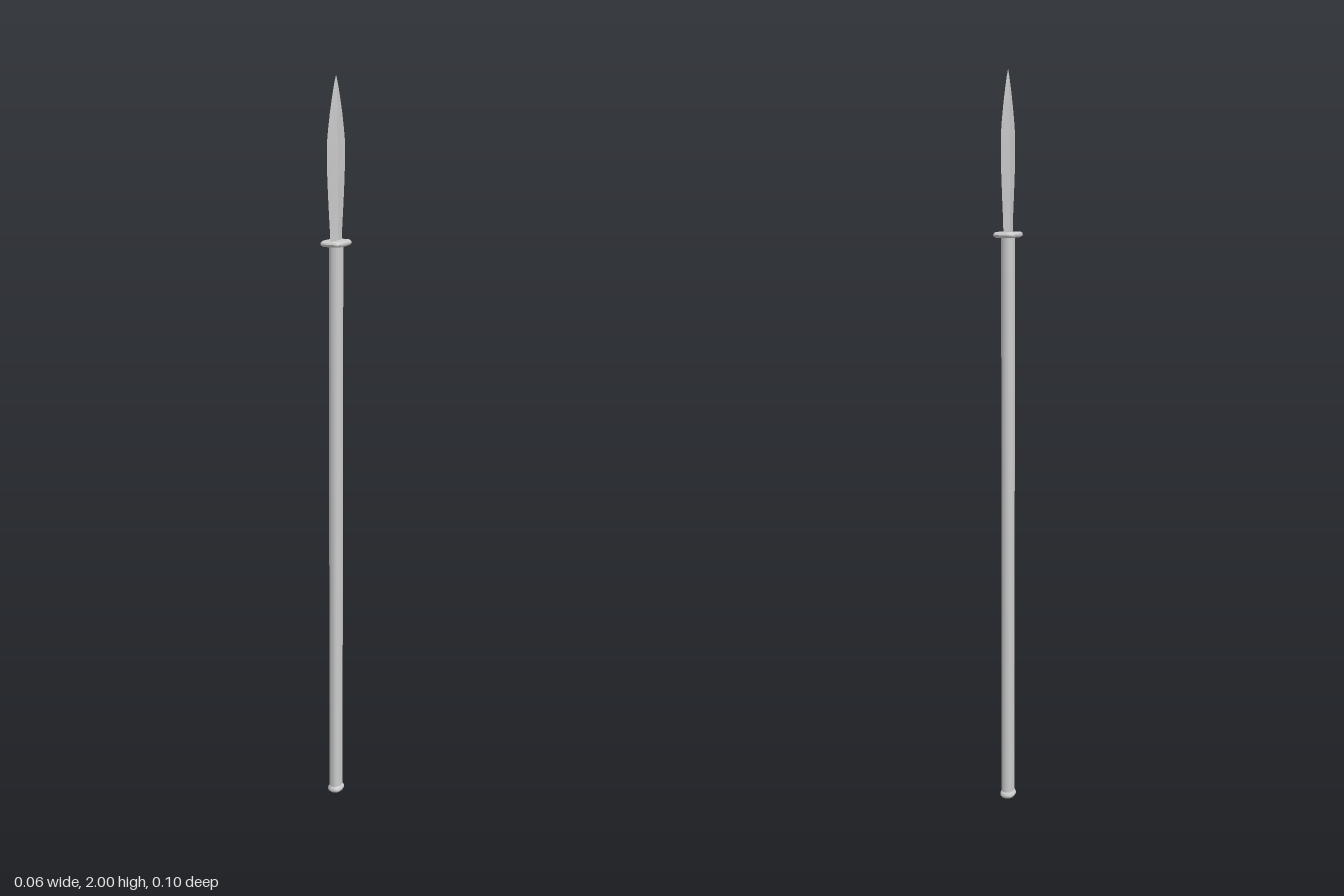
import * as THREE from 'three';

const material = (flat) => new THREE.MeshStandardMaterial({ color: 0xcccccc, flatShading: flat });

// Skins horizontal superellipse rings; each section is [y, half width x, half depth z].
function loft(name, sections, sides, power, flat) {
  const positions = [], index = [];
  const curve = (v) => Math.sign(v) * Math.pow(Math.abs(v), 2 / power);
  for (const [y, rx, rz] of sections) {
    for (let i = 0; i < sides; i++) {
      const a = (i / sides) * Math.PI * 2;
      positions.push(rx * curve(Math.sin(a)), y, rz * curve(Math.cos(a)));
    }
  }
  for (let r = 0; r < sections.length - 1; r++) {
    for (let i = 0; i < sides; i++) {
      const a = r * sides + i, b = r * sides + (i + 1) % sides;
      index.push(a, b, b + sides, a, b + sides, a + sides);
    }
  }
  // End caps
  const last = (sections.length - 1) * sides;
  for (let i = 1; i < sides - 1; i++) {
    index.push(0, i + 1, i, last, last + i, last + i + 1);
  }
  const geometry = new THREE.BufferGeometry();
  geometry.setAttribute('position', new THREE.Float32BufferAttribute(positions, 3));
  geometry.setIndex(index);
  geometry.computeVertexNormals();
  const mesh = new THREE.Mesh(geometry, material(flat));
  mesh.name = name;
  return mesh;
}

export function createModel() {
  const group = new THREE.Group();
  group.name = 'spear';

  // Long oval shaft
  group.add(loft('shaft', [[0.015, 0.017, 0.022], [1.58, 0.017, 0.022]], 20, 2.3, false));

  // Flared foot with a slightly domed underside
  group.add(loft('buttCap', [
    [0, 0.008, 0.01], [0.004, 0.017, 0.022], [0.009, 0.021, 0.026],
    [0.014, 0.021, 0.026], [0.022, 0.017, 0.022],
  ], 20, 2.3, false));

  // Thin rounded-rectangle guard with a bevelled rim
  group.add(loft('guard', [
    [1.576, 0.027, 0.038], [1.579, 0.031, 0.042], [1.583, 0.032, 0.044],
    [1.587, 0.031, 0.042], [1.59, 0.027, 0.038],
  ], 32, 4, true));

  // Leaf blade with a diamond section, sharp along both z edges
  group.add(loft('blade', [
    [1.585, 0.005, 0.034], [1.62, 0.005, 0.036], [1.68, 0.005, 0.043], [1.74, 0.005, 0.049],
    [1.79, 0.005, 0.052], [1.835, 0.005, 0.052], [1.87, 0.0045, 0.045], [1.91, 0.004, 0.035],
    [1.95, 0.003, 0.022], [1.98, 0.002, 0.011], [2, 0.0003, 0.001],
  ], 4, 2, true));

  return group;
}
